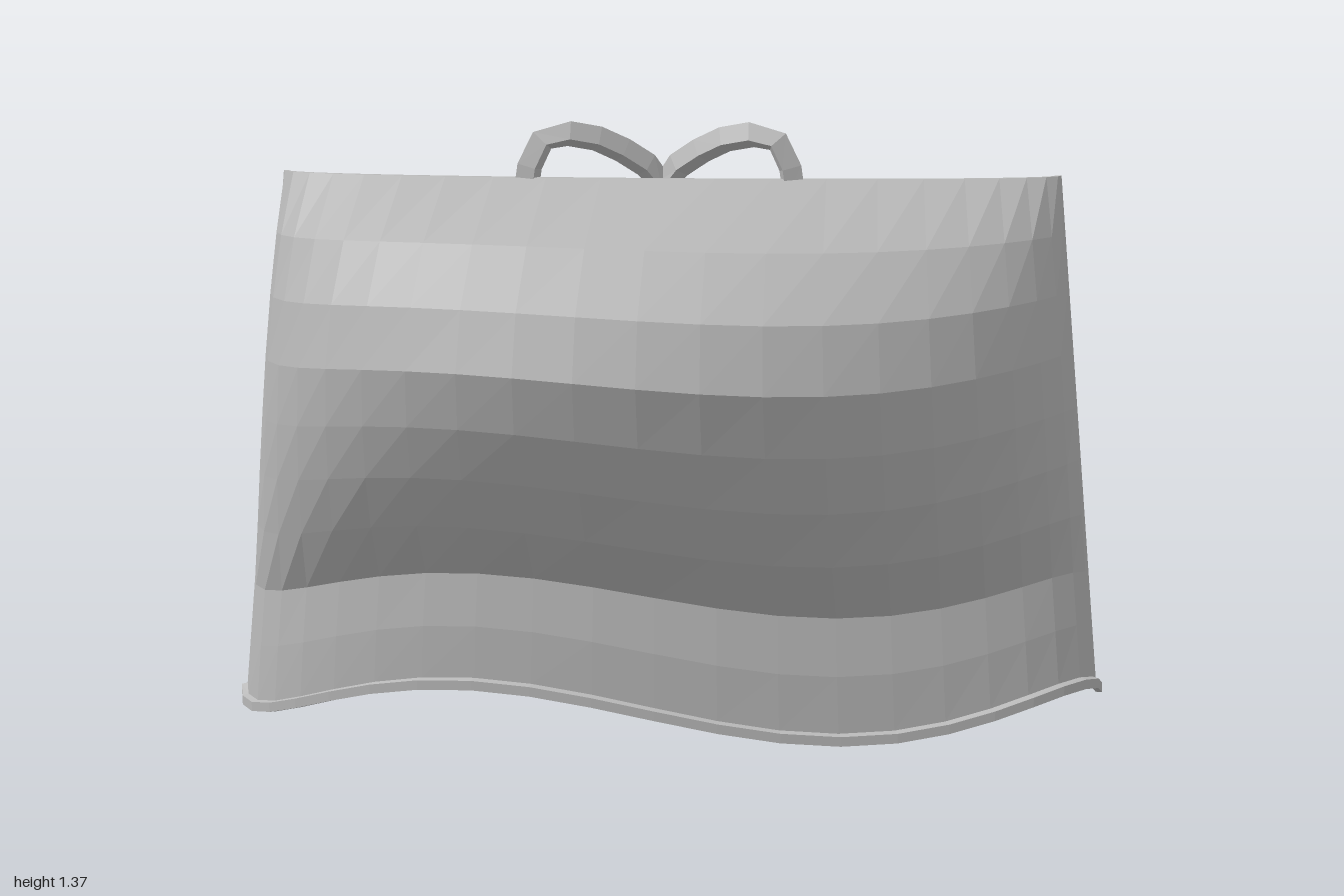
import * as THREE from 'three';

export function createModel() {
  const group = new THREE.Group();
  group.name = 'clothWithBow';
  const cloth = new THREE.MeshStandardMaterial({ color: 0xb8b8b8, flatShading: true, side: THREE.DoubleSide });
  cloth.name = 'greyCloth';

  const add = (geometry, name) => {
    const mesh = new THREE.Mesh(geometry, cloth);
    mesh.name = name;
    group.add(mesh);
    return mesh;
  };

  // Half-elliptical rows of cloth, [height, depth at the middle, outward offset], with a wave growing downwards
  const sheet = (rows, name) => {
    const columns = 22;
    const geometry = new THREE.PlaneGeometry(1, 1, columns, rows.length - 1);
    const p = geometry.attributes.position;
    rows.forEach(([y, middle, out = 0], r) => {
      const drop = Math.min(1, Math.max(0, (1.26 - y) / 1.17));
      const half = 0.88 + 0.105 * drop + out;
      const edgeZ = -0.33 + 0.045 * drop;
      for (let c = 0; c <= columns; c++) {
        const a = (c / columns - 0.5) * Math.PI;
        p.setXYZ(r * (columns + 1) + c,
          half * Math.sin(a),
          y - 0.053 * drop * Math.sin(3.63 * a),
          edgeZ + (middle + out - edgeZ) * Math.cos(a));
      }
    });
    geometry.computeVertexNormals();
    return add(geometry, name);
  };

  // Puffed panel, gathered in above a short skirt, with a thin top rim
  sheet([
    [1.25, -0.145, -0.012], [1.26, -0.145, -0.012], [1.26, -0.13], [1.13, 0.15], [1.0, 0.29], [0.865, 0.33],
    [0.735, 0.285], [0.61, 0.21], [0.48, 0.1], [0.34, -0.06], [0.215, -0.05], [0.09, -0.055],
  ], 'puffedPanel');

  // Raised lip along the lower edge
  sheet([[0.09, -0.055], [0.086, -0.055, 0.014], [0.064, -0.055, 0.014], [0.064, -0.055], [0.09, -0.055]], 'bottomHem');

  // Bow tied behind the panel
  const loopPath = [
    [0, 1.235, -0.25], [0.1, 1.325, -0.21], [0.18, 1.352, -0.18], [0.25, 1.348, -0.165], [0.29, 1.27, -0.16],
    [0.285, 1.15, -0.165], [0.21, 1.09, -0.185], [0.11, 1.13, -0.22],
  ];
  for (const side of [1, -1]) {
    const label = side > 0 ? 'left' : 'right';
    const curve = new THREE.CatmullRomCurve3(
      loopPath.map(([x, y, z]) => new THREE.Vector3(side * x, y, z)), true);
    add(new THREE.TubeGeometry(curve, 14, 0.03, 4, true), label + 'BowLoop');

    // Hanging tail, widening and then tapering to its tip
    const top = new THREE.Vector3(0, 1.22, -0.255);
    const tip = new THREE.Vector3(side * 0.13, 0.56, -0.15);
    const length = top.distanceTo(tip);
    const profile = [[0.008, 0], [0.022, 0.03], [0.042, 0.75], [0.016, 1]]
      .map(([r, t]) => new THREE.Vector2(r, -length * t)).reverse();
    const tail = add(new THREE.LatheGeometry(profile, 4).scale(1, 1, 0.5), label + 'BowTail');
    tail.position.copy(top);
    tail.quaternion.setFromUnitVectors(new THREE.Vector3(0, -1, 0), tip.clone().sub(top).normalize());
  }

  // Small knot
  const knot = add(new THREE.SphereGeometry(0.038, 6, 4), 'bowKnot');
  knot.position.set(0, 1.225, -0.25);
  return group;
}
